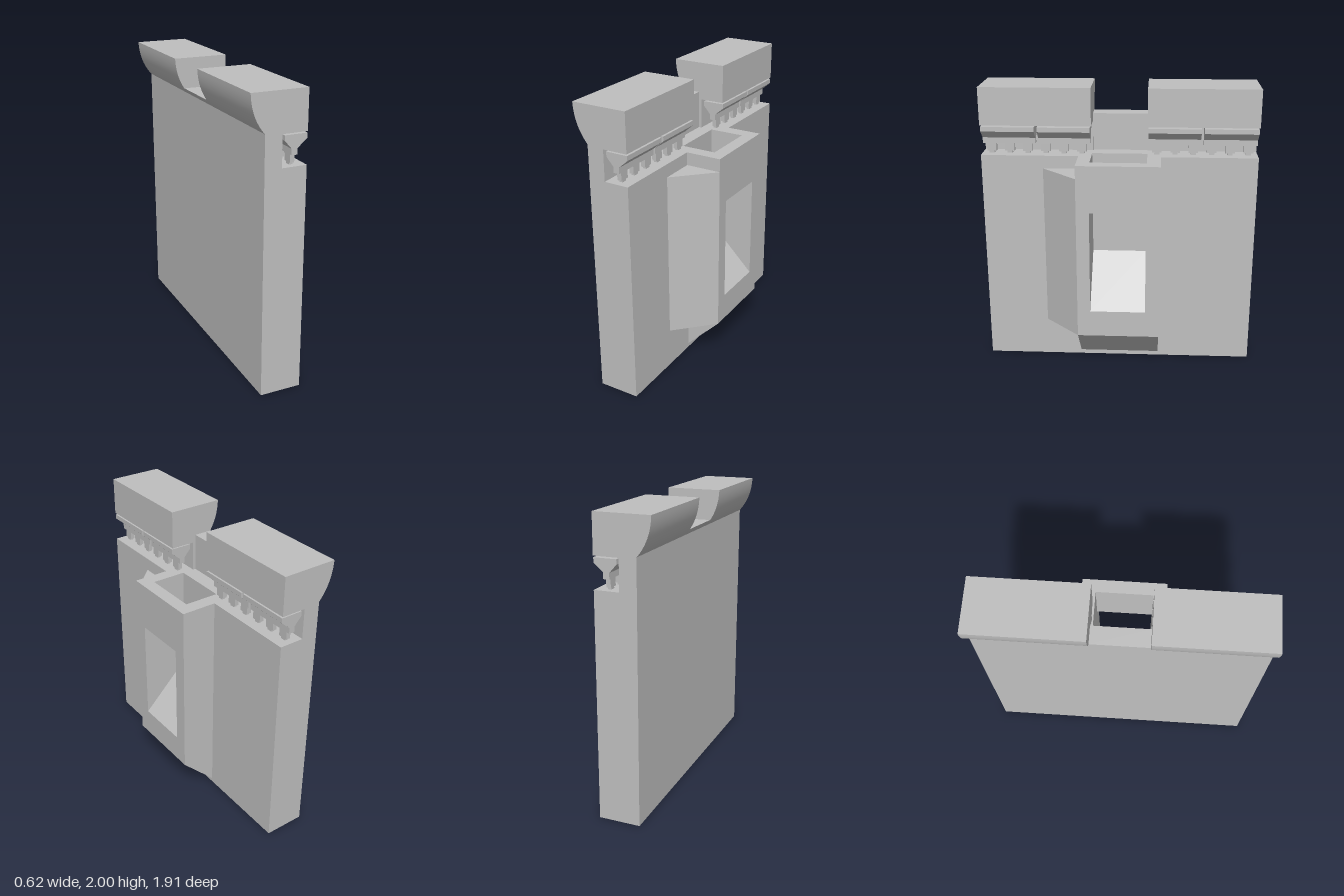
import * as THREE from 'three';
import { toCreasedNormals } from 'three/addons/utils/BufferGeometryUtils.js';

const stone = new THREE.MeshStandardMaterial({ color: 0xbfbfbf });
stone.name = 'stone grey';

// Main depths along z
const END = 0.955, GAP_F = 0.19, GAP_B = -0.195;

export function createModel() {
  const model = new THREE.Group();
  model.name = 'parapetWall';

  // Extrude an x/y profile between two z positions
  function slab(name, points, z0, z1) {
    const shape = new THREE.Shape(points.map(([x, y]) => new THREE.Vector2(x, y)));
    let geo = new THREE.ExtrudeGeometry(shape, { depth: z1 - z0, bevelEnabled: false });
    geo.translate(0, 0, z0);
    geo = toCreasedNormals(geo, 0.4);
    const mesh = new THREE.Mesh(geo, stone);
    mesh.name = name;
    model.add(mesh);
    return mesh;
  }

  // Rounded outer face of the coping, from top to bottom
  const curve = new THREE.QuadraticBezierCurve(
    new THREE.Vector2(-0.315, 2), new THREE.Vector2(-0.31, 1.85), new THREE.Vector2(-0.22, 1.75));
  const rounded = curve.getPoints(12).map((p) => [p.x, p.y]);

  // Wall with overhanging coping and a firing slot, either side of the gap
  const merlon = [
    [-0.22, 0], [0.063, 0], [0.063, 1.53], [-0.106, 1.53],
    [-0.106, 1.738], [0.063, 1.738], [0.063, 2], ...rounded];
  slab('frontMerlonWall', merlon, GAP_F, END);
  slab('backMerlonWall', merlon, -END, GAP_B);

  // Middle of the wall with the shaft's rear wall and sloping chute
  slab('middleWallAndChute', [
    [-0.22, 0], [0.063, 0], [0.063, 0.03], [0.31, 0.28], [0.31, 0.47],
    [-0.022, 0.802], [-0.022, 1.53], [-0.126, 1.53], [-0.126, 1.79], [-0.25, 1.79],
    ...rounded.filter(([, y]) => y < 1.785)], GAP_B, GAP_F);
  slab('shaftLintel', [[0.22, 1.2], [0.31, 1.2], [0.31, 1.53], [0.22, 1.53]], GAP_B, GAP_F);

  // Cheeks of the projecting shaft, tapered at the foot
  const cheek = [[0.063, 0.03], [0.31, 0.28], [0.31, 1.53], [0.063, 1.53]];
  slab('frontShaftCheek', cheek, GAP_F, 0.28);
  slab('backShaftCheek', cheek, -0.29, GAP_B);

  // Triangular buttress beside the shaft
  const tri = new THREE.Shape([
    new THREE.Vector2(0.063, -0.28), new THREE.Vector2(0.063, -0.527), new THREE.Vector2(0.31, -0.28)]);
  const buttressGeo = new THREE.ExtrudeGeometry(tri, { depth: 1.16, bevelEnabled: false });
  buttressGeo.rotateX(-Math.PI / 2).translate(0, 0.28, 0);
  const buttress = new THREE.Mesh(buttressGeo, stone);
  buttress.name = 'sideButtress';
  model.add(buttress);

  // Flared rails inside the slot, two on each side of the gap
  const rail = [
    [-0.04, 1.6], [0, 1.6], [0, 1.64], [0.063, 1.695], [0.063, 1.727],
    [-0.088, 1.727], [-0.088, 1.695], [-0.04, 1.64]];
  for (const [a, b] of [[0.2, 0.562], [0.582, 0.95]]) {
    slab('frontRail', rail, a, b);
    slab('backRail', rail, -b, -a);
  }

  // Small stepped feet carrying the rails
  for (const side of [1, -1]) {
    for (let i = 0; i < 6; i++) {
      const z = side * (0.26 + i * 0.126);
      slab('railFoot', [[-0.035, 1.545], [-0.005, 1.545], [-0.005, 1.6], [-0.035, 1.6]], z - 0.033, z + 0.033);
      slab('railPin', [[-0.032, 1.53], [-0.008, 1.53], [-0.008, 1.545], [-0.032, 1.545]], z - 0.018, z + 0.018);
    }
  }
  return model;
}
